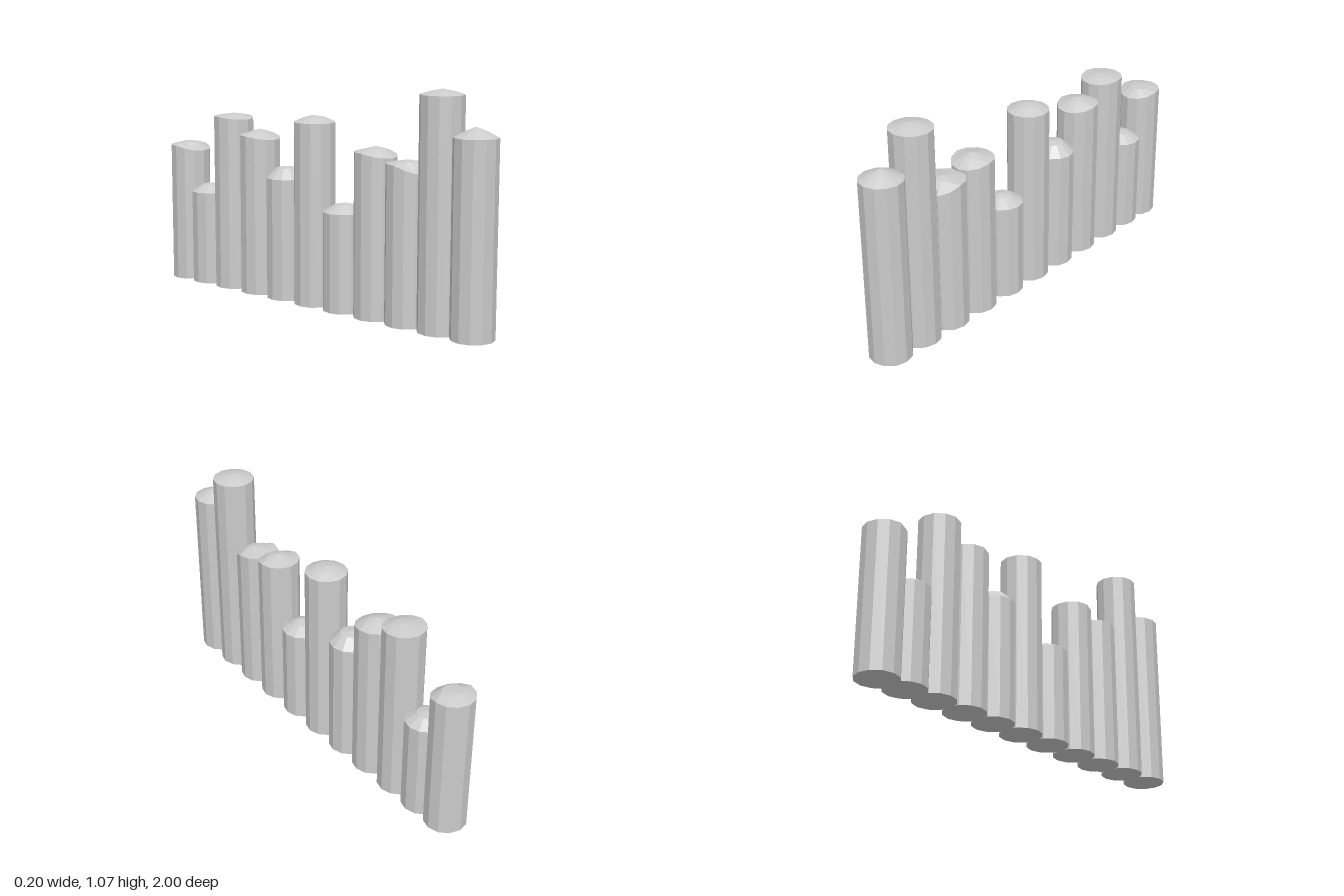
import * as THREE from 'three';

const RADIUS = 0.1;
const SIDES = 12;

// z, rim height, shoulder radius, shoulder height, apex height, apex z shift, drop of the rim's front edge
const POSTS = [
  [0.9, 0.875, 0.05, 0.9, 0.92, 0, 0],
  [0.72, 1.045, 0.05, 1.06, 1.07, 0, 0],
  [0.535, 0.73, 0.05, 0.738, 0.748, 0.005, 0.04],
  [0.35, 0.765, 0.05, 0.778, 0.792, 0, 0.022],
  [0.16, 0.468, 0.045, 0.5, 0.512, 0.015, 0],
  [-0.025, 0.872, 0.05, 0.894, 0.904, -0.01, 0],
  [-0.21, 0.59, 0.05, 0.637, 0.645, 0, 0],
  [-0.39, 0.782, 0.04, 0.801, 0.811, 0, 0.018],
  [-0.575, 0.862, 0.05, 0.87, 0.877, 0, 0.012],
  [-0.745, 0.466, 0.045, 0.5, 0.507, 0, 0],
  [-0.9, 0.692, 0.05, 0.705, 0.71, -0.03, 0.025],
];

const material = new THREE.MeshStandardMaterial({ color: 0xcccccc, flatShading: true });

// One post: a faceted shaft with a roughly hewn, pointed top
function makePost([z, rim, shoulderR, shoulderY, apexY, apexShift, drop]) {
  const profile = [[0, 0], [RADIUS, 0], [RADIUS, rim], [shoulderR, shoulderY], [0, apexY]];
  const geometry = new THREE.LatheGeometry(profile.map(([r, y]) => new THREE.Vector2(r, y)), SIDES);
  const pos = geometry.attributes.position;
  for (let i = 0; i < pos.count; i++) {
    const ring = i % profile.length;
    // lower the front of the rim
    if (ring === 2) pos.setY(i, rim - drop * Math.max(0, pos.getZ(i) / RADIUS));
    // push the tip off centre
    if (ring === 4) pos.setZ(i, apexShift);
  }
  geometry.computeVertexNormals();
  const post = new THREE.Mesh(geometry, material);
  post.position.z = z;
  return post;
}

export function createModel() {
  const fence = new THREE.Group();
  fence.name = 'palisade';
  POSTS.forEach((spec, i) => {
    const post = makePost(spec);
    post.name = `post${i + 1}`;
    fence.add(post);
  });
  return fence;
}
